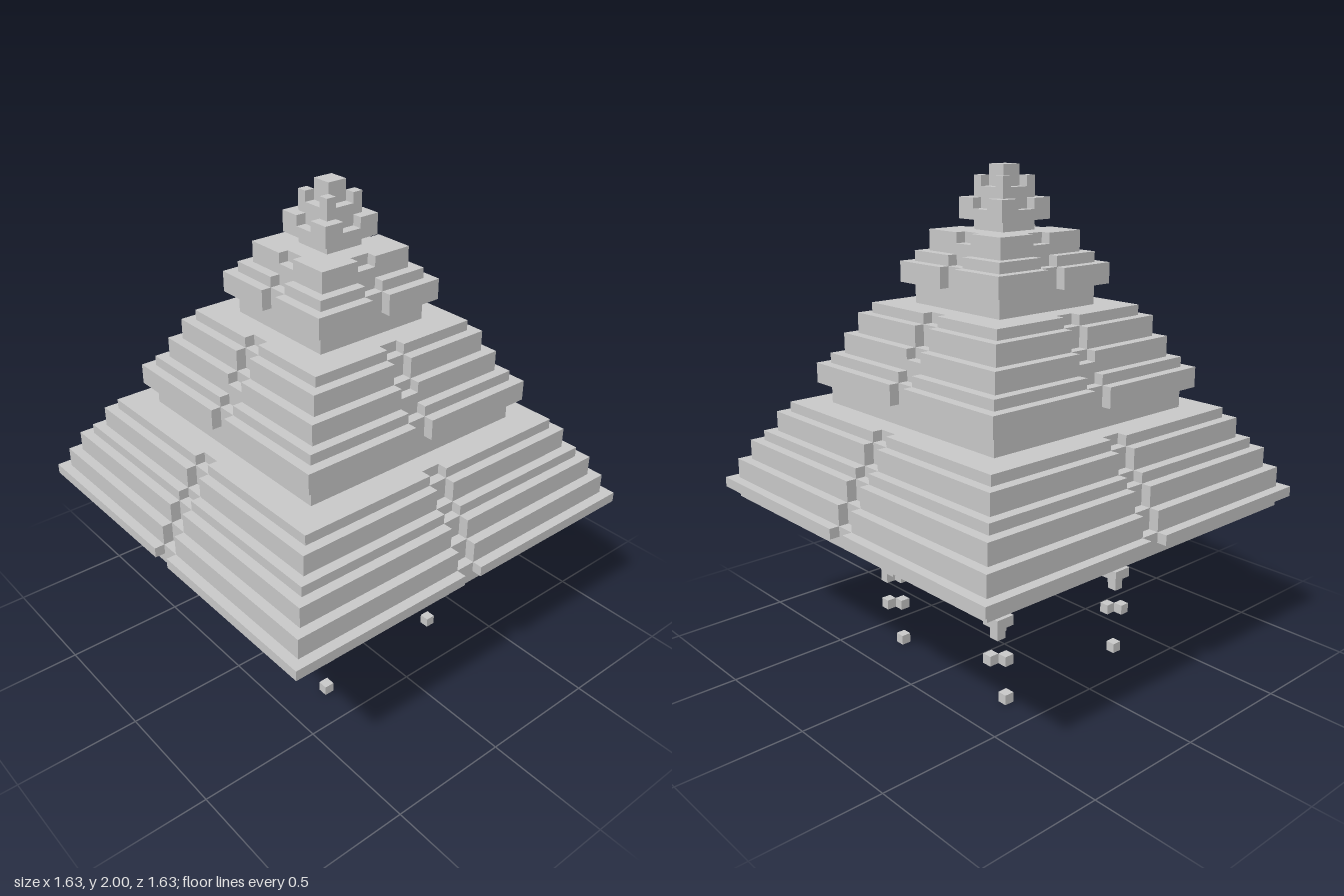
import * as THREE from 'three';

const U = 2 / 49; // edge of one block
const material = new THREE.MeshStandardMaterial({ color: 0xcccccc, flatShading: true });

function add(parent, name, geometry) {
  const mesh = new THREE.Mesh(geometry, material);
  mesh.name = name;
  parent.add(mesh);
  return mesh;
}

// Box in block units: centre x, z, bottom y
function block(parent, name, w, h, x, y, z) {
  add(parent, name, new THREE.BoxGeometry(w * U, h * U, w * U))
    .position.set(x * U, (y + h / 2) * U, z * U);
}

// Square slab of half width r, notched to half width m in the middle of each side
function slab(parent, name, y, h, r, m) {
  const side = m < r ? [[r, -r], [r, -1], [m, -1], [m, 1], [r, 1]] : [[r, -r]];
  const points = [];
  for (let k = 0; k < 4; k++) {
    for (const [px, py] of side) {
      let x = px, z = py;
      for (let i = 0; i < k; i++) [x, z] = [-z, x];
      points.push(new THREE.Vector2(x * U, z * U));
    }
  }
  const geometry = new THREE.ExtrudeGeometry(new THREE.Shape(points), { depth: h * U, bevelEnabled: false });
  geometry.rotateX(-Math.PI / 2);
  add(parent, name, geometry).position.y = y * U;
}

// Tiers from the bottom: [height, half width, half width inside the groove]
const TIERS = {
  underside: [[1, 12, 12], [1, 16, 16], [1, 19, 19]],
  bottomTier: [[1, 20, 19], [2, 19, 18], [2, 18, 17], [1, 17, 16], [2, 16, 15], [1, 15, 14]],
  middleTier: [[2, 12, 12], [2, 13, 12], [1, 12, 11], [1, 11, 11], [1, 11, 10], [2, 10, 9], [1, 9, 8]],
  upperTier: [[2, 6, 6], [2, 7, 6], [1, 6, 5], [1, 5, 5], [1, 5, 4]],
  crown: [[1, 2, 2], [1, 3, 3], [1, 3, 2], [1, 2, 2], [1, 2, 1], [1, 1, 1]],
};

// Hanging drips: [x, z, slope of the lower pair, last block offset x, z]
const DRIPS = [
  [8, 8, -1, 0.5, -0.5],
  [8, -8, -1, -0.5, 0.5],
  [-8, 8, 1, -0.5, -0.5],
  [-8, -8, 1, -0.5, 0.5],
];

export function createModel() {
  const model = new THREE.Group();
  model.name = 'steppedTree';

  let y = 14;
  for (const [name, layers] of Object.entries(TIERS)) {
    const tier = new THREE.Group();
    tier.name = name;
    model.add(tier);
    for (const [h, r, m] of layers) {
      slab(tier, name + 'Layer', y, h, r, m);
      y += h;
    }
  }

  for (const [x, z, slope, ex, ez] of DRIPS) {
    const drip = new THREE.Group();
    drip.name = 'drip';
    model.add(drip);
    block(drip, 'dripPlate', 4, 1, x, 13, z);
    block(drip, 'dripStem', 2, 3, x, 10, z);
    // Detached blocks below the stem
    const clump = new THREE.Group();
    clump.name = 'dripClump';
    drip.add(clump);
    add(clump, 'clumpTop', new THREE.BoxGeometry(2 * U, U, 2 * U)).position.set(x * U, 8.5 * U, z * U);
    for (const s of [-0.5, 0.5]) {
      block(clump, 'clumpBlock', 1, 1, x + s, 7, z + s * slope);
      block(drip, 'dripPair', 1, 1, x + s, 4, z - s);
    }
    block(drip, 'dripEnd', 1, 1, x + ex, 0, z + ez);
  }
  return model;
}
